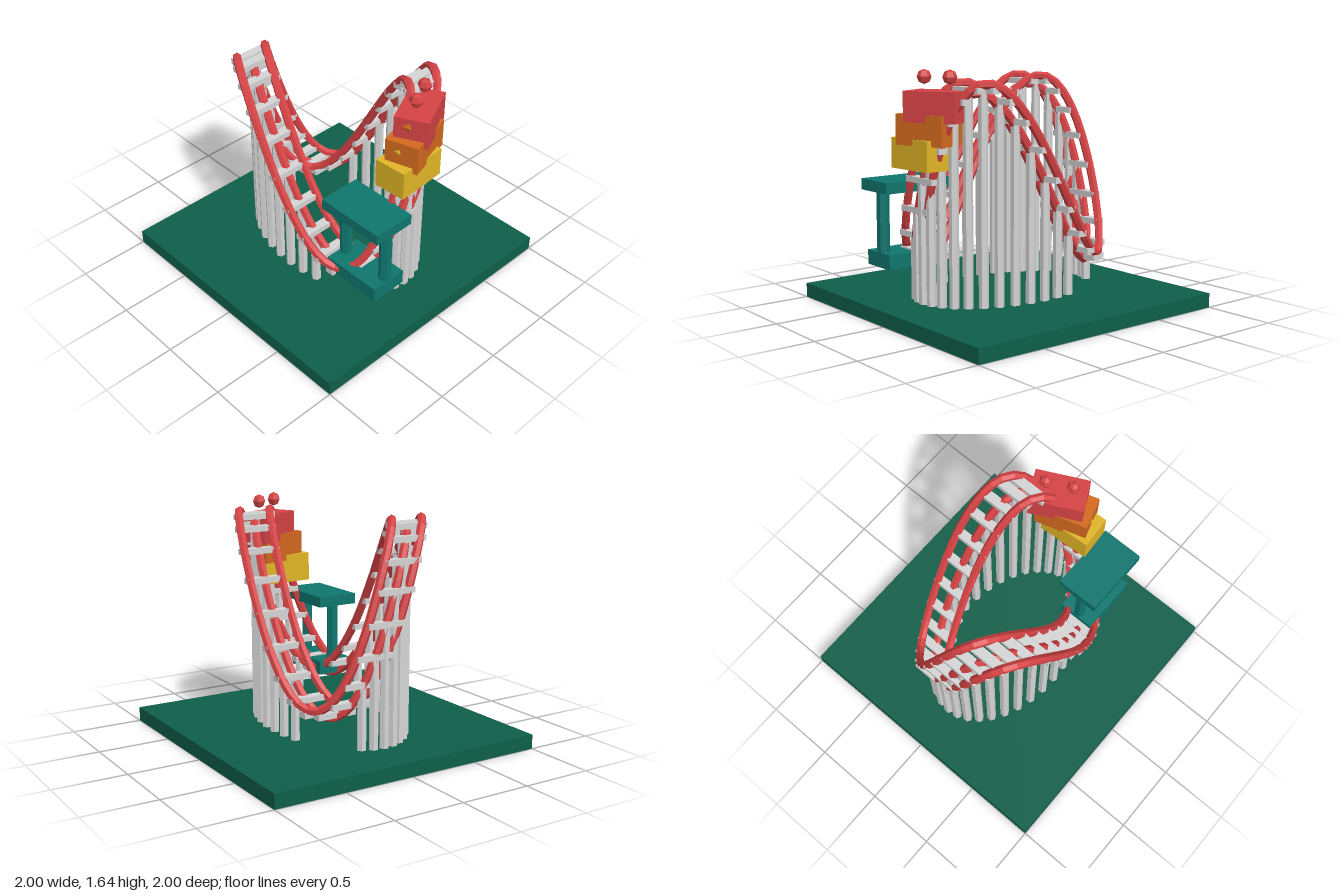
import * as THREE from 'three';

const flat = (name, color) => {
  const m = new THREE.MeshStandardMaterial({ color, flatShading: true });
  m.name = name;
  return m;
};

// Closed saddle-shaped loop followed by the rails, ties and supports
const trackPoint = (a) => new THREE.Vector3(
  0.68 * Math.cos(a), 0.925 - 0.6 * Math.sin(2 * a), 0.43 * Math.sin(a));

class TrackCurve extends THREE.Curve {
  constructor(dy, dz) {
    super();
    this.offset = new THREE.Vector3(0, dy, dz);
  }
  getPoint(t, target = new THREE.Vector3()) {
    return target.copy(trackPoint(t * Math.PI * 2)).add(this.offset);
  }
}

export function createModel() {
  const model = new THREE.Group();
  const red = flat('red', 0xd64345);
  const grey = flat('light grey', 0xd4d4d4);
  const teal = flat('teal', 0x0f766e);
  const green = flat('dark green', 0x0e5f49);
  const orange = flat('orange', 0xd2691e);
  const yellow = flat('yellow', 0xe0b526);

  const add = (parent, name, geometry, material, x, y, z) => {
    const mesh = new THREE.Mesh(geometry, material);
    mesh.name = name;
    mesh.position.set(x, y, z);
    parent.add(mesh);
    return mesh;
  };
  const group = (name) => {
    const g = new THREE.Group();
    g.name = name;
    model.add(g);
    return g;
  };

  // Ground slab
  add(model, 'ground', new THREE.BoxGeometry(2, 0.1, 2), green, 0, 0.05, 0);

  // Two running rails and the spine below the ties
  const track = group('track');
  const tube = (name, dy, dz) => add(track, name,
    new THREE.TubeGeometry(new TrackCurve(dy, dz), 80, 0.03, 6, true), red, 0, 0, 0);
  tube('frontRail', 0.035, 0.12);
  tube('backRail', 0.035, -0.12);
  tube('spine', -0.027, 0);

  // Ties, with a support column under each except at the two low points
  const supports = group('supports');
  const tieGeometry = new THREE.BoxGeometry(0.065, 0.04, 0.285);
  for (let i = 0; i < 36; i++) {
    const p = trackPoint(i * Math.PI / 18);
    add(track, 'tie', tieGeometry, grey, p.x, p.y, p.z);
    if (p.y < 0.42) continue;
    const height = p.y - 0.1;
    add(supports, 'support', new THREE.CylinderGeometry(0.033, 0.033, height, 6),
      grey, p.x, 0.1 + height / 2, p.z);
  }

  // Boarding station
  const station = group('station');
  add(station, 'platform', new THREE.BoxGeometry(0.44, 0.1, 0.265), teal, 0.61, 0.365, 0.308);
  add(station, 'roof', new THREE.BoxGeometry(0.5, 0.075, 0.305), teal, 0.61, 0.865, 0.308);
  for (const x of [0.43, 0.79]) {
    add(station, 'post', new THREE.CylinderGeometry(0.043, 0.043, 0.42, 6), teal, x, 0.625, 0.308);
  }

  // Train of three cars, each with two riders
  const train = group('train');
  const carGeometry = new THREE.BoxGeometry(0.23, 0.2, 0.37);
  const headGeometry = new THREE.SphereGeometry(0.048, 6, 4);
  const cars = [
    ['frontCar', red, 0.643, 1.41, -0.117, 26.5],
    ['middleCar', orange, 0.663, 1.26, -0.058, 17],
    ['rearCar', yellow, 0.675, 1.1, 0, 3.5],
  ];
  for (const [name, material, x, y, z, yaw] of cars) {
    const car = new THREE.Group();
    car.name = name;
    car.position.set(x, y, z);
    car.rotation.y = THREE.MathUtils.degToRad(yaw);
    train.add(car);
    add(car, 'carBody', carGeometry, material, 0, 0, 0);
    for (const side of [-1, 1]) add(car, 'riderHead', headGeometry, material, 0, 0.187, side * 0.092);
  }

  return model;
}
